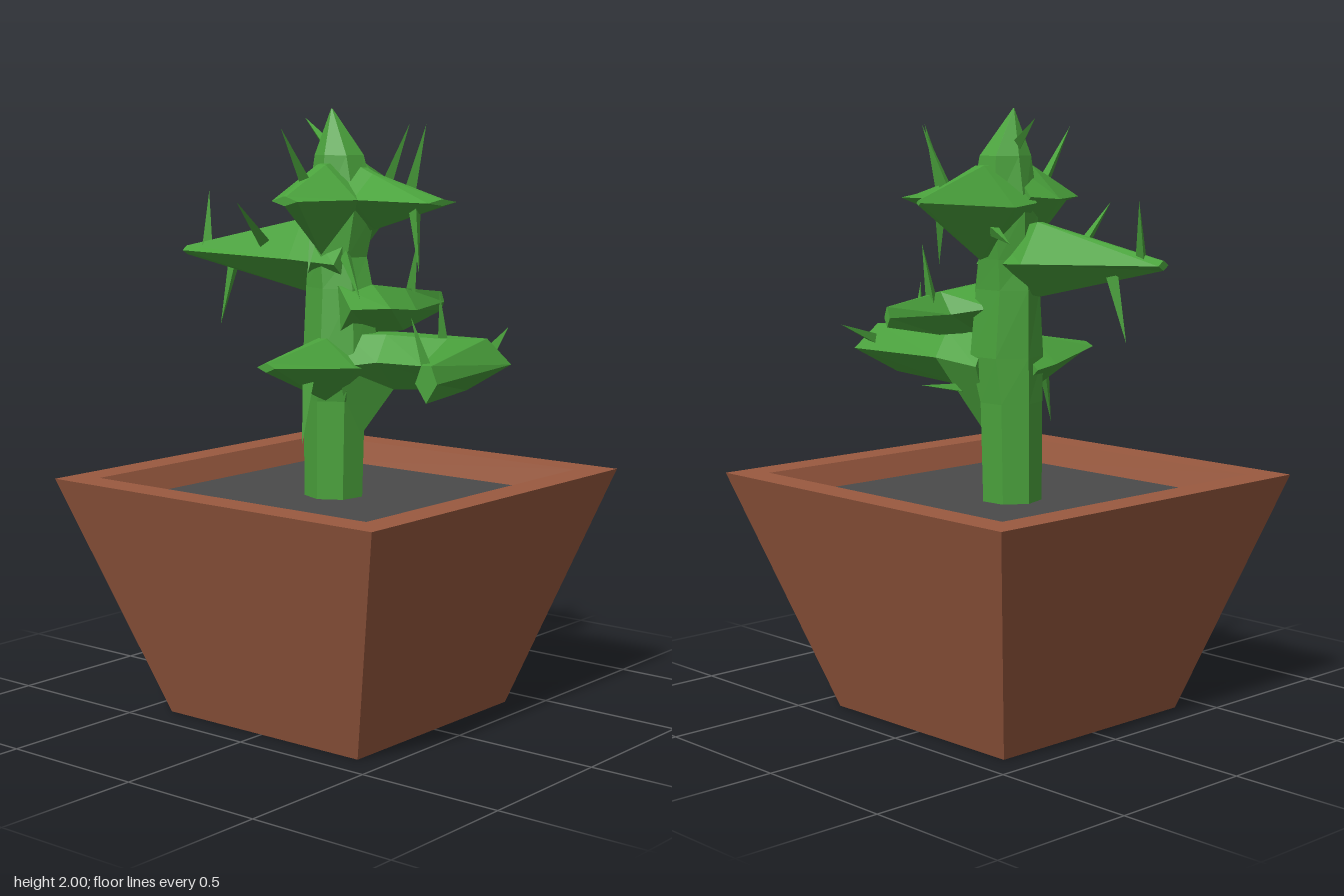
import * as THREE from 'three';

const mat = (color) => new THREE.MeshStandardMaterial({ color, flatShading: true });
const V = (x, y, z) => new THREE.Vector3(x, y, z);

// Skin between matching rings of points, with both ends closed.
function loft(rings) {
  const pos = [];
  const tri = (...pts) => pts.forEach((p) => pos.push(p.x, p.y, p.z));
  const n = rings[0].length;
  for (let i = 0; i < rings.length - 1; i++) {
    for (let j = 0; j < n; j++) {
      const k = (j + 1) % n;
      const a = rings[i][j], b = rings[i][k], c = rings[i + 1][k], d = rings[i + 1][j];
      tri(a, b, c);
      tri(a, c, d);
    }
  }
  const first = rings[0], last = rings[rings.length - 1];
  for (let j = 1; j < n - 1; j++) {
    tri(first[0], first[j + 1], first[j]);
    tri(last[0], last[j], last[j + 1]);
  }
  const g = new THREE.BufferGeometry();
  g.setAttribute('position', new THREE.Float32BufferAttribute(pos, 3));
  g.computeVertexNormals();
  return g;
}

// Horizontal elliptical ring.
function ring(x, y, z, rx, rz, sides, turn = 0) {
  return Array.from({ length: sides }, (_, i) => {
    const a = turn + (i / sides) * Math.PI * 2;
    return V(x + Math.cos(a) * rx, y, z - Math.sin(a) * rz);
  });
}

// Ridged branch; each station is [x, y, z, half width, rise, drop].
function branch(stations, crest = 0.12) {
  const rings = stations.map(([x, y, z, w, up, down], i) => {
    const p = stations[Math.max(i - 1, 0)];
    const q = stations[Math.min(i + 1, stations.length - 1)];
    const side = V(q[2] - p[2], 0, p[0] - q[0]).normalize();
    return [[1, 0], [crest, up], [-crest, up], [-1, 0], [0, -down]].map(([s, h]) =>
      V(x, y + h, z).addScaledVector(side, s * w));
  });
  return loft(rings);
}

// Thin three-sided thorn from base to tip.
function thorn([bx, by, bz, tx, ty, tz]) {
  const base = V(bx, by, bz), dir = V(tx, ty, tz).sub(base);
  const len = dir.length();
  const g = new THREE.ConeGeometry(0.022, len, 3);
  g.translate(0, len / 2, 0);
  g.applyQuaternion(new THREE.Quaternion().setFromUnitVectors(V(0, 1, 0), dir.normalize()));
  g.translate(bx, by, bz);
  return g;
}

export function createModel() {
  const model = new THREE.Group();
  const cactus = new THREE.Group();
  cactus.name = 'cactus';
  const green = mat(0x4aa23c), clay = mat(0x9a5a40), earth = mat(0x4a4a4a);
  const add = (parent, name, geometry, material) => {
    const mesh = new THREE.Mesh(geometry, material);
    mesh.name = name;
    parent.add(mesh);
  };

  // Square flared pot: outside wall, rim and sloping inside wall
  const profile = [[0.4, 0], [0.663, 0.8], [0.56, 0.8], [0.533, 0.715]];
  const square = ([h, y]) => ring(0, y, 0, h * Math.SQRT2, h * Math.SQRT2, 4, Math.PI / 4);
  add(model, 'pot', loft(profile.map(square)), clay);
  const soil = new THREE.PlaneGeometry(1.07, 1.07);
  soil.rotateX(-Math.PI / 2);
  soil.translate(0, 0.722, 0);
  add(model, 'soil', soil, earth);

  // Trunk, narrowing between the branch clusters and ending in a point
  const trunk = [
    [-0.04, 0.715, -0.02, 0.1, 0.1], [-0.035, 1.05, -0.02, 0.105, 0.105],
    [-0.01, 1.2, -0.02, 0.13, 0.12], [-0.02, 1.42, -0.025, 0.12, 0.1],
    [-0.03, 1.52, -0.03, 0.1, 0.1], [-0.02, 1.68, -0.04, 0.12, 0.11],
    [-0.03, 1.85, -0.04, 0.08, 0.09], [-0.05, 2, -0.02, 0.002, 0.002],
  ];
  add(cactus, 'trunk', loft(trunk.map(([x, y, z, rx, rz]) => ring(x, y, z, rx, rz, 7, 0.3))), green);

  // Branches
  const branches = {
    rightArm: [[0.04, 1.5, -0.01, 0.09, 0.1, 0.08], [-0.16, 1.51, -0.01, 0.1, 0.13, 0.11],
      [-0.615, 1.52, 0.075, 0.03, 0.015, 0.015]],
    lowerFrontArm: [[-0.01, 1.16, -0.02, 0.14, 0.11, 0.14], [0, 1.17, 0.09, 0.13, 0.09, 0.11],
      [0.025, 1.195, 0.395, 0.035, 0.015, 0.015]],
    upperFrontArm: [[-0.03, 1.72, -0.05, 0.12, 0.12, 0.16], [-0.02, 1.71, 0.07, 0.14, 0.11, 0.18],
      [0, 1.71, 0.275, 0.05, 0.015, 0.015]],
    upperBackArm: [[-0.03, 1.7, -0.02, 0.12, 0.12, 0.15], [-0.04, 1.69, -0.16, 0.135, 0.13, 0.17],
      [-0.13, 1.715, -0.5, 0.008, 0.008, 0.008]],
    upperLeftArm: [[-0.01, 1.72, -0.05, 0.12, 0.12, 0.13], [0.1, 1.71, -0.06, 0.12, 0.08, 0.1],
      [0.375, 1.705, -0.055, 0.075, 0.01, 0.01]],
    middleBackArm: [[0.03, 1.36, 0.05, 0.1, 0.07, 0.1], [0.08, 1.36, -0.06, 0.12, 0.07, 0.09],
      [0.11, 1.34, -0.2, 0.055, 0.07, 0.07], [0.08, 1.345, -0.45, 0.012, 0.035, 0.03]],
  };
  for (const [name, stations] of Object.entries(branches)) add(cactus, name, branch(stations), green);

  // Bent arm that turns forward at the elbow
  add(cactus, 'lowerLeftArm', branch([
    [0.03, 1.17, -0.03, 0.12, 0.1, 0.28], [0.17, 1.19, -0.07, 0.11, 0.085, 0.1],
    [0.45, 1.19, -0.09, 0.145, 0.085, 0.08], [0.57, 1.18, 0.285, 0.035, 0.055, 0.06],
  ], 0.45), green);

  // Thorns: base, then tip
  const thorns = [
    [-0.54, 1.52, 0.06, -0.58, 1.72, 0], [-0.44, 1.48, 0.03, -0.485, 1.27, 0.05],
    [-0.28, 1.56, 0.06, -0.255, 1.7, 0.22], [-0.08, 1.88, -0.03, -0.25, 1.97, -0.12],
    [0.21, 1.75, -0.1, 0.245, 1.95, -0.14], [-0.06, 1.75, -0.32, 0.01, 1.95, -0.36],
    [-0.02, 1.76, 0.15, -0.01, 1.94, 0.28], [0.27, 1.68, -0.05, 0.31, 1.48, -0.02],
    [0.05, 1.53, 0.03, 0.19, 1.4, 0.13], [0.1, 1.38, -0.24, 0.115, 1.57, -0.27],
    [0.365, 1.25, -0.07, 0.37, 1.42, -0.05], [0.55, 1.2, 0.25, 0.515, 1.38, 0.29],
    [0.48, 1.22, -0.16, 0.43, 1.29, -0.35], [0.1, 1.08, -0.08, 0.12, 1.11, -0.27],
    [0.03, 1.14, 0.2, 0.07, 0.94, 0.275], [-0.03, 1.64, 0.08, -0.02, 1.47, 0.14],
    [-0.11, 1.62, -0.17, -0.23, 1.58, -0.21],
  ];
  thorns.forEach((t, i) => add(cactus, `thorn${i + 1}`, thorn(t), green));

  model.add(cactus);
  return model;
}
